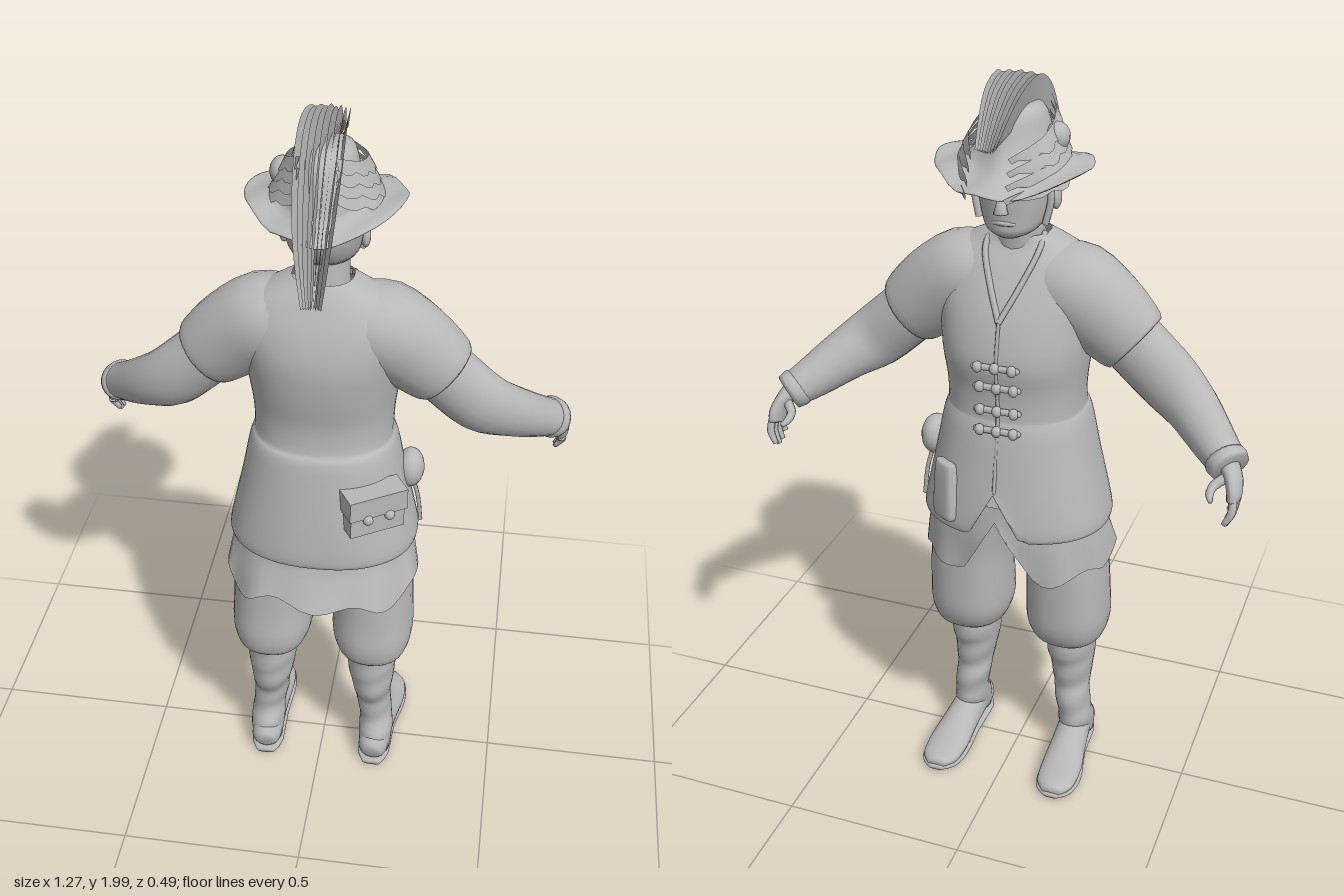
import * as THREE from 'three';

const V = (x, y, z) => new THREE.Vector3(x, y, z);
const grey = new THREE.MeshStandardMaterial({ color: 0xb8b8b8, side: THREE.DoubleSide });
grey.name = 'plain grey';

// Catmull-Rom interpolation of every column in a table of rows
function smooth(rows, steps) {
  const out = [], at = i => rows[Math.max(0, Math.min(rows.length - 1, i))];
  for (let i = 0; i < rows.length - 1; i++) {
    for (let s = 0; s < steps; s++) {
      const t = s / steps;
      out.push(rows[i].map((p1, k) => {
        const p0 = at(i - 1)[k], p2 = at(i + 1)[k], p3 = at(i + 2)[k];
        return p1 + 0.5 * t * (p2 - p0 + t * (2 * p0 - 5 * p1 + 4 * p2 - p3 + t * (3 * (p1 - p2) + p3 - p0)));
      }));
    }
  }
  out.push(rows[rows.length - 1]);
  return out;
}

// Skin of elliptical sections; each row is x, y, z, radius along ref, radius across
function loft(table, { ref = V(1, 0, 0), axis = null, n = 20, steps = 3, power = 2, open = false, deform = null } = {}) {
  let rows = smooth(table, steps);
  if (!open) {
    const close = r => [r[0], r[1], r[2], 0, 0];
    rows = [close(rows[0]), ...rows, close(rows[rows.length - 1])];
  }
  const pos = [], idx = [], last = rows.length - 1;
  rows.forEach((r, i) => {
    const a = rows[Math.max(0, i - 2)], b = rows[Math.min(last, i + 2)];
    const T = axis || V(b[0] - a[0], b[1] - a[1], b[2] - a[2]).normalize();
    const U = ref.clone().addScaledVector(T, -ref.dot(T)).normalize();
    const W = U.clone().cross(T);
    for (let j = 0; j < n; j++) {
      const ang = j / n * Math.PI * 2;
      const bend = v => Math.sign(v) * Math.pow(Math.abs(v), 2 / power);
      const p = V(r[0], r[1], r[2])
        .addScaledVector(U, bend(Math.cos(ang)) * r[3]).addScaledVector(W, bend(Math.sin(ang)) * r[4]);
      if (deform) deform(p, ang);
      pos.push(p.x, p.y, p.z);
      if (i < last) {
        const k = (j + 1) % n, q = i * n;
        idx.push(q + j, q + n + j, q + k, q + k, q + n + j, q + n + k);
      }
    }
  });
  const g = new THREE.BufferGeometry();
  g.setAttribute('position', new THREE.Float32BufferAttribute(pos, 3));
  g.setIndex(idx);
  g.computeVertexNormals();
  return g;
}

// Ragged strip between two edge paths
function ribbon(edgeA, edgeB, n = 22, rag = 0.15) {
  const a = new THREE.CatmullRomCurve3(edgeA), b = new THREE.CatmullRomCurve3(edgeB);
  const pos = [], idx = [];
  for (let i = 0; i <= n; i++) {
    const p = a.getPoint(i / n), q = b.getPoint(i / n).lerp(p, i % 3 === 0 ? rag : 0);
    pos.push(...p.toArray(), ...q.toArray());
    if (i < n) idx.push(2 * i, 2 * i + 1, 2 * i + 2, 2 * i + 1, 2 * i + 3, 2 * i + 2);
  }
  const g = new THREE.BufferGeometry();
  g.setAttribute('position', new THREE.Float32BufferAttribute(pos, 3));
  g.setIndex(idx);
  g.computeVertexNormals();
  return g;
}

export function createModel() {
  const model = new THREE.Group();
  model.name = 'costumedFigure';
  const add = (name, geo, x = 0, y = 0, z = 0) => {
    const m = new THREE.Mesh(geo, grey);
    m.name = name;
    m.position.set(x, y, z);
    model.add(m);
    return m;
  };
  const ball = (name, x, y, z, sx, sy, sz) => {
    const m = add(name, new THREE.SphereGeometry(1, 16, 12), x, y, z);
    m.scale.set(sx, sy, sz);
    return m;
  };
  const tube = (name, pts, r) => add(name, new THREE.TubeGeometry(new THREE.CatmullRomCurve3(pts), 16, r, 6));
  const up = V(0, 1, 0);

  // Tunic, with a split at the front of the hem
  const notch = (base, top, half) => p => {
    if (p.z < 0 && Math.abs(p.x) < half) p.y = Math.max(p.y, base + (top - base) * (1 - Math.abs(p.x) / half));
  };
  add('tunic', loft([
    [0, 0.81, 0, 0.245, 0.19], [0, 0.825, 0, 0.255, 0.203], [0, 0.9, 0, 0.24, 0.198], [0, 1.0, 0, 0.217, 0.185],
    [0, 1.1, 0, 0.197, 0.17], [0, 1.135, 0, 0.186, 0.16], [0, 1.15, -0.005, 0.18, 0.152], [0, 1.22, -0.008, 0.182, 0.15],
    [0, 1.3, -0.008, 0.192, 0.163], [0, 1.4, 0.008, 0.205, 0.155], [0, 1.48, 0.018, 0.22, 0.128],
    [0, 1.535, 0.022, 0.195, 0.1], [0, 1.575, 0.025, 0.13, 0.075], [0, 1.6, 0.018, 0.075, 0.064],
  ], { axis: up, n: 56, power: 2.25, open: true, deform: notch(0.81, 0.95, 0.075) }));

  // Undershirt hem below the tunic
  add('shirtHem', loft([
    [0, 0.69, 0.022, 0.262, 0.208], [0, 0.75, 0.01, 0.252, 0.195], [0, 0.81, 0, 0.24, 0.185], [0, 0.9, 0, 0.225, 0.18],
  ], {
    axis: up, n: 56, power: 2.2, open: true,
    deform: (p, a) => {
      const w = Math.max(0, (0.82 - p.y) / 0.13);
      p.y += w * (0.014 * Math.sin(a * 7) + 0.012 * Math.sin(a * 4 + 1));
      p.z += w * 0.01 * Math.sin(a * 9);
      notch(0.68, 0.86, 0.1)(p);
    },
  }));

  // Head, neck and face
  add('neck', loft([[0, 1.5, 0.02, 0.075, 0.07], [0, 1.58, 0.01, 0.065, 0.066], [0, 1.67, 0.0, 0.062, 0.066]], { axis: up }));
  add('head', loft([
    [0, 1.607, -0.065, 0.025, 0.025], [0, 1.625, -0.045, 0.062, 0.068], [0, 1.66, -0.015, 0.085, 0.1],
    [0, 1.71, -0.002, 0.096, 0.117], [0, 1.76, 0.0, 0.1, 0.122], [0, 1.82, 0, 0.09, 0.11],
  ], { axis: up, n: 28 }));
  add('nose', loft([[0, 1.735, -0.11, 0.01, 0.012], [0, 1.7, -0.126, 0.014, 0.016], [0, 1.682, -0.128, 0.019, 0.017]], { axis: up, n: 10 }));
  tube('mouth', [V(-0.028, 1.65, -0.105), V(0, 1.653, -0.117), V(0.028, 1.65, -0.105)], 0.006);
  tube('brow', [V(-0.06, 1.73, -0.09), V(0, 1.735, -0.114), V(0.06, 1.73, -0.09)], 0.011);

  // Hat crown and brim in one skin, sides raised and tips lowered
  add('hat', loft([
    [0, 1.75, -0.005, 0.09, 0.11], [0, 1.758, -0.025, 0.15, 0.165], [0, 1.767, -0.03, 0.192, 0.2],
    [0, 1.775, -0.028, 0.18, 0.19], [0, 1.795, -0.02, 0.115, 0.145], [0, 1.84, -0.01, 0.088, 0.12],
    [0, 1.9, -0.01, 0.072, 0.098], [0, 1.925, -0.01, 0.05, 0.06],
  ], {
    axis: up, n: 40, power: 1.8,
    deform: p => {
      p.y += 0.55 * p.x * p.x - 0.45 * Math.pow(p.z + 0.03, 2) + 0.006 * Math.sin(p.x * 40 + p.z * 25);
    },
  }));
  ball('hatRosette', -0.1, 1.845, -0.01, 0.03, 0.035, 0.035);

  // Crest of feathers arching from the nape over to the forehead
  const arc = [[1.61, 0.215], [1.7, 0.208], [1.79, 0.185], [1.88, 0.135], [1.955, 0.07], [1.99, 0], [1.975, -0.1], [1.93, -0.17], [1.865, -0.23]];
  for (let i = 0; i < 9; i++) {
    const k = i - 4, drop = 0.004 * Math.abs(k) + 0.012 * (i % 2);
    const spread = j => k * (0.006 + 0.008 * Math.sin(Math.PI * j / 8));
    const edge = (w, dx) => arc.map(([y, z], j) => {
      const f = j === 0 || j === 8 ? w * 0.4 : w;
      return V(spread(j) + dx, y + (1.73 - y) * f * (j ? 1 : 0.2), z * (1 - f));
    });
    add('crestFeather', ribbon(edge(drop, 0), edge(drop + 0.27, k * -0.004)));
  }

  for (const s of [-1, 1]) {
    // Feathers sweeping along the sides of the hat
    for (let i = 0; i < 4; i++) {
      const h = i * 0.028, f = i * 0.012;
      add('sideFeather', ribbon(
        [V(s * 0.04, 1.935 - h, 0.1), V(s * (0.085 + f), 1.895 - h, 0.02), V(s * (0.09 + f), 1.865 - h, -0.09), V(s * 0.045, 1.84 - h, -0.2 - f)],
        [V(s * 0.05, 1.9 - h, 0.11), V(s * (0.105 + f), 1.86 - h, 0.02), V(s * (0.11 + f), 1.83 - h, -0.09), V(s * 0.05, 1.825 - h, -0.19 - f)], 16, 0.25));
    }
    ball('ear', s * 0.098, 1.695, -0.005, 0.012, 0.03, 0.02);
    tube('sideLock', [V(s * 0.092, 1.75, -0.04), V(s * 0.097, 1.7, -0.045), V(s * 0.085, 1.64, -0.05)], 0.009);
    tube('collarEdge', [V(s * 0.068, 1.6, 0.0), V(s * 0.068, 1.565, -0.055), V(s * 0.038, 1.49, -0.105), V(0, 1.41, -0.15)], 0.008);

    // Short wide sleeve and the arm below it
    const limb = (rows, o) => loft(rows.map(([x, ...r]) => [s * x, ...r]), { ref: V(0, 0, 1), ...o });
    add('sleeve', limb([
      [0.06, 1.49, 0.02, 0.1, 0.085], [0.14, 1.465, 0.015, 0.115, 0.115], [0.22, 1.41, 0.01, 0.1, 0.115],
      [0.285, 1.355, 0.007, 0.086, 0.103], [0.305, 1.338, 0.006, 0.078, 0.092],
    ], { n: 24 }));
    add('arm', limb([
      [0.25, 1.385, 0.007, 0.07, 0.085], [0.32, 1.32, 0.005, 0.068, 0.084], [0.4, 1.25, -0.002, 0.062, 0.083],
      [0.47, 1.205, -0.04, 0.062, 0.07], [0.54, 1.155, -0.1, 0.055, 0.057], [0.588, 1.125, -0.145, 0.05, 0.046],
    ]));
    add('cuff', limb([[0.572, 1.137, -0.128, 0.05, 0.05], [0.58, 1.13, -0.137, 0.058, 0.053], [0.595, 1.12, -0.15, 0.052, 0.048]], { steps: 2 }));
    add('palm', limb([
      [0.588, 1.125, -0.143, 0.03, 0.026], [0.607, 1.1, -0.165, 0.036, 0.02], [0.614, 1.07, -0.183, 0.04, 0.019], [0.612, 1.05, -0.192, 0.035, 0.014],
    ], { n: 14 }));
    for (let i = 0; i < 4; i++) {
      const z = -0.215 + i * 0.019, l = [0.045, 0.055, 0.05, 0.035][i];
      add('finger', limb([
        [0.615, 1.075 - i * 0.006, z + 0.008, 0.0105, 0.0105], [0.618, 1.06 - l * 0.5, z - 0.006, 0.01, 0.01],
        [0.602, 1.05 - l, z - 0.012, 0.007, 0.007],
      ], { n: 8 }));
    }
    add('thumb', limb([
      [0.595, 1.105, -0.165, 0.014, 0.014], [0.566, 1.09, -0.195, 0.012, 0.012], [0.562, 1.08, -0.225, 0.01, 0.01], [0.57, 1.073, -0.245, 0.006, 0.006],
    ], { n: 8, ref: up }));

    // Baggy breeches gathered below the knee
    add('breeches', loft([
      [s * 0.145, 0.405, 0.035, 0.075, 0.085], [s * 0.145, 0.425, 0.03, 0.098, 0.115], [s * 0.143, 0.48, 0.022, 0.113, 0.133],
      [s * 0.142, 0.56, 0.015, 0.112, 0.133], [s * 0.138, 0.68, 0.01, 0.108, 0.135], [s * 0.12, 0.8, 0.005, 0.108, 0.14], [s * 0.1, 0.9, 0, 0.09, 0.13],
    ], { axis: up, n: 28, power: 2.3 }));

    // Soft boot: shaft with slouch folds, then the foot
    add('bootShaft', loft([
      [s * 0.163, 0.03, 0.075, 0.045, 0.05], [s * 0.163, 0.09, 0.05, 0.05, 0.068], [s * 0.16, 0.14, 0.035, 0.047, 0.06],
      [s * 0.152, 0.2, 0.035, 0.051, 0.058], [s * 0.15, 0.24, 0.045, 0.052, 0.064], [s * 0.147, 0.3, 0.05, 0.062, 0.077],
      [s * 0.145, 0.35, 0.045, 0.068, 0.082], [s * 0.145, 0.43, 0.045, 0.073, 0.086],
    ], { axis: up, n: 24, deform: (p, a) => { p.z += 0.004 * Math.sin(p.y * 70 + a); } }));
    add('foot', loft([
      [s * 0.16, 0.045, 0.132, 0.022, 0.025], [s * 0.161, 0.05, 0.11, 0.042, 0.046], [s * 0.163, 0.058, 0.04, 0.046, 0.056],
      [s * 0.168, 0.046, -0.04, 0.051, 0.045], [s * 0.173, 0.03, -0.12, 0.058, 0.029], [s * 0.175, 0.025, -0.19, 0.052, 0.022],
      [s * 0.175, 0.024, -0.225, 0.026, 0.014],
    ], { deform: p => { p.y = Math.max(p.y, 0); } }));
    add('sole', loft([
      [s * 0.16, 0.008, 0.135, 0.025, 0.008], [s * 0.161, 0.008, 0.09, 0.046, 0.008], [s * 0.165, 0.008, -0.02, 0.048, 0.008],
      [s * 0.173, 0.008, -0.13, 0.062, 0.008], [s * 0.175, 0.012, -0.2, 0.052, 0.008], [s * 0.175, 0.014, -0.232, 0.02, 0.006],
    ], { power: 3 }));
  }

  // Frog fastenings down the front
  for (const [y, z] of [[1.12, -0.167], [1.175, -0.163], [1.24, -0.165], [1.3, -0.177]]) {
    const bar = add('fasteningBar', new THREE.CapsuleGeometry(0.009, 0.11, 4, 8), 0, y, z);
    bar.rotation.z = Math.PI / 2;
    for (const x of [-0.045, 0, 0.045]) ball('fasteningKnot', x, y, z - 0.004, 0.013, 0.015, 0.013);
  }
  tube('frontSeam', [V(0, 1.41, -0.15), V(0, 1.3, -0.172), V(0, 1.17, -0.159), V(0, 0.95, -0.193)], 0.005);

  // Rear belt pouch with flap and buttons
  const pouch = new THREE.Group();
  pouch.name = 'rearPouch';
  pouch.position.set(0.148, 1.005, 0.155);
  pouch.rotation.y = 0.55;
  const inPouch = (name, geo, x, y, z) => {
    const m = add(name, geo, x, y, z);
    pouch.add(m);
  };
  inPouch('pouchBody', new THREE.BoxGeometry(0.15, 0.115, 0.06), 0, 0, 0);
  inPouch('pouchFlap', new THREE.BoxGeometry(0.16, 0.06, 0.07), 0, 0.03, 0.002);
  for (const x of [-0.03, 0.03]) inPouch('pouchButton', new THREE.SphereGeometry(0.014, 10, 8), x, -0.005, 0.036);
  model.add(pouch);

  // Round pouch, dangling tool and flat pouch on the left side
  ball('roundPouch', 0.225, 1.005, -0.03, 0.038, 0.055, 0.05);
  tube('hangingTool', [V(0.23, 0.97, -0.04), V(0.248, 0.9, -0.042), V(0.258, 0.82, -0.042)], 0.006);
  const flat = add('flatPouch', loft([
    [0, -0.08, 0, 0.03, 0.012], [0, -0.065, 0, 0.042, 0.02], [0, 0.05, 0, 0.037, 0.018], [0, 0.08, 0, 0.034, 0.012],
  ], { axis: up, power: 3.5 }), 0.145, 0.92, -0.163);
  flat.rotation.set(0.06, -0.6, 0);

  return model;
}
